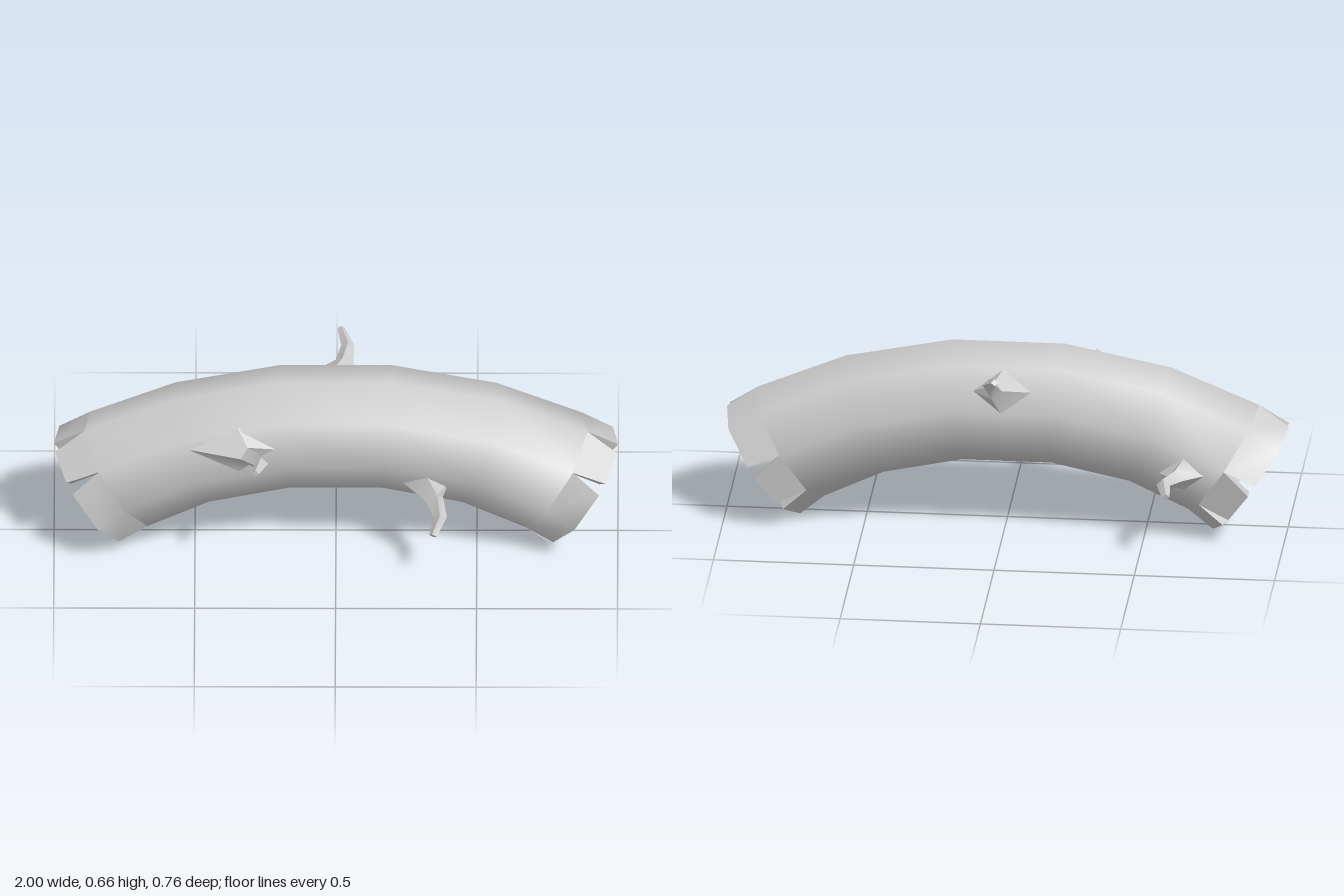
import * as THREE from 'three';
import { toCreasedNormals } from 'three/addons/utils/BufferGeometryUtils.js';

const SIDES = 8;
const material = new THREE.MeshStandardMaterial({ color: 0xcccccc });

// Skin a list of equal-sized rings and close both ends.
function loft(rings, crease) {
  const n = rings[0].length, pos = [], index = [];
  rings.flat().forEach((p) => pos.push(p.x, p.y, p.z));
  for (let i = 0; i < rings.length - 1; i++) {
    for (let j = 0; j < n; j++) {
      const a = i * n + j, b = i * n + (j + 1) % n;
      index.push(a, b, b + n, a, b + n, a + n);
    }
  }
  const last = (rings.length - 1) * n;
  for (let j = 1; j < n - 1; j++) {
    index.push(0, j + 1, j);
    index.push(last, last + j, last + j + 1);
  }
  const geo = new THREE.BufferGeometry();
  geo.setAttribute('position', new THREE.Float32BufferAttribute(pos, 3));
  geo.setIndex(index);
  return toCreasedNormals(geo, crease);
}

function addMesh(parent, name, geo) {
  const mesh = new THREE.Mesh(geo, material);
  mesh.name = name;
  parent.add(mesh);
}

// Stations along one half of the arch: centre x, y, tilt in degrees, radius.
const MIDDLE = [0.18, 0.446, 5.5, 0.218];
const BEND = [0.51, 0.378, 19, 0.22];
const SLIT = [0.77, 0.263, 33, 0.228];
const RIM = [0.87, 0.195, 35, 0.238];

// Point k (may be fractional) on the eight-sided outline of a station.
function outline([x, y, tilt, r], side, k, scale = 1) {
  const corner = (c) => {
    const phi = THREE.MathUtils.degToRad(80 + c * 45);
    const a = THREE.MathUtils.degToRad(tilt) * side;
    const up = Math.sin(phi) * r * scale;
    return new THREE.Vector3(x * side + up * Math.sin(a), y + up * Math.cos(a), Math.cos(phi) * r * scale);
  };
  const k0 = Math.floor(k);
  return corner(k0).lerp(corner(k0 + 1), k - k0);
}

// Tapered, crooked twig with a flared root lying on the bark.
function twig(root, normal, flare, joints) {
  const points = [root, ...joints.map((j) => j.slice(0, 3))].map((p) => new THREE.Vector3(...p));
  const up = new THREE.Vector3(0, 1, 0);
  const rings = points.map((p, i) => {
    const t = i === 0 ? new THREE.Vector3(...normal)
      : points[Math.min(i + 1, points.length - 1)].clone().sub(points[i - 1]);
    t.normalize();
    const u = up.clone().cross(t).normalize();
    const v = t.clone().cross(u);
    const [ru, rv] = i === 0 ? flare : [joints[i - 1][3], joints[i - 1][3]];
    return [[ru, 0], [0, rv], [-ru, 0], [0, -rv]].map(([a, b]) =>
      p.clone().addScaledVector(u, a).addScaledVector(v, b));
  });
  return loft(rings, 0.5);
}

export function createModel() {
  const model = new THREE.Group();
  model.name = 'archedHollowLog';

  // Arched trunk, from its left end to its right end
  const stations = [[SLIT, 1], [BEND, 1], [MIDDLE, 1], [MIDDLE, -1], [BEND, -1], [SLIT, -1]];
  const trunkRings = stations.map(([s, side]) =>
    Array.from({ length: SIDES }, (_, k) => outline(s, side, k)));
  addMesh(model, 'trunk', loft(trunkRings, 0.9));

  // Split bark around each hollow end: plates between V-shaped slits
  const plates = [[0, 2], [2, 3], [3, 5], [5, 7], [7, 8]];
  const inner = 0.76, gap = 0.14;
  for (const side of [1, -1]) {
    const end = new THREE.Group();
    end.name = side > 0 ? 'leftBarkEnd' : 'rightBarkEnd';
    for (const [from, to] of plates) {
      const sections = [];
      for (let k = from; k <= to; k++) {
        const kr = k === from ? k + gap : k === to ? k - gap : k;
        sections.push([
          outline(SLIT, side, k), outline(RIM, side, kr),
          outline(RIM, side, kr, inner), outline(SLIT, side, k, inner),
        ]);
      }
      if (side < 0) sections.reverse();
      addMesh(end, 'barkPlate', loft(sections, 0.9));
    }
    model.add(end);
  }

  // Twigs: root, outward direction, root spread, then joints as x, y, z, radius
  addMesh(model, 'frontUpperTwig', twig([-0.35, 0.47, 0.188], [0, 0.23, 0.97], [0.17, 0.085],
    [[-0.31, 0.47, 0.228, 0.034], [-0.265, 0.487, 0.305, 0.026], [-0.285, 0.495, 0.375, 0.013]]));
  addMesh(model, 'frontLowerTwig', twig([0.32, 0.315, 0.165], [0, -0.53, 0.85], [0.08, 0.07],
    [[0.35, 0.28, 0.215, 0.034], [0.37, 0.235, 0.262, 0.024], [0.345, 0.19, 0.315, 0.014]]));
  addMesh(model, 'backUpperTwig', twig([0, 0.55, -0.165], [0, 0.53, -0.85], [0.11, 0.085],
    [[0.03, 0.578, -0.215, 0.034], [0.04, 0.615, -0.268, 0.023], [0.015, 0.65, -0.325, 0.013]]));
  addMesh(model, 'backLowerTwig', twig([-0.65, 0.275, -0.2], [0, -0.22, -0.97], [0.09, 0.07],
    [[-0.62, 0.27, -0.24, 0.032], [-0.585, 0.275, -0.31, 0.025], [-0.6, 0.255, -0.375, 0.014]]));

  return model;
}
